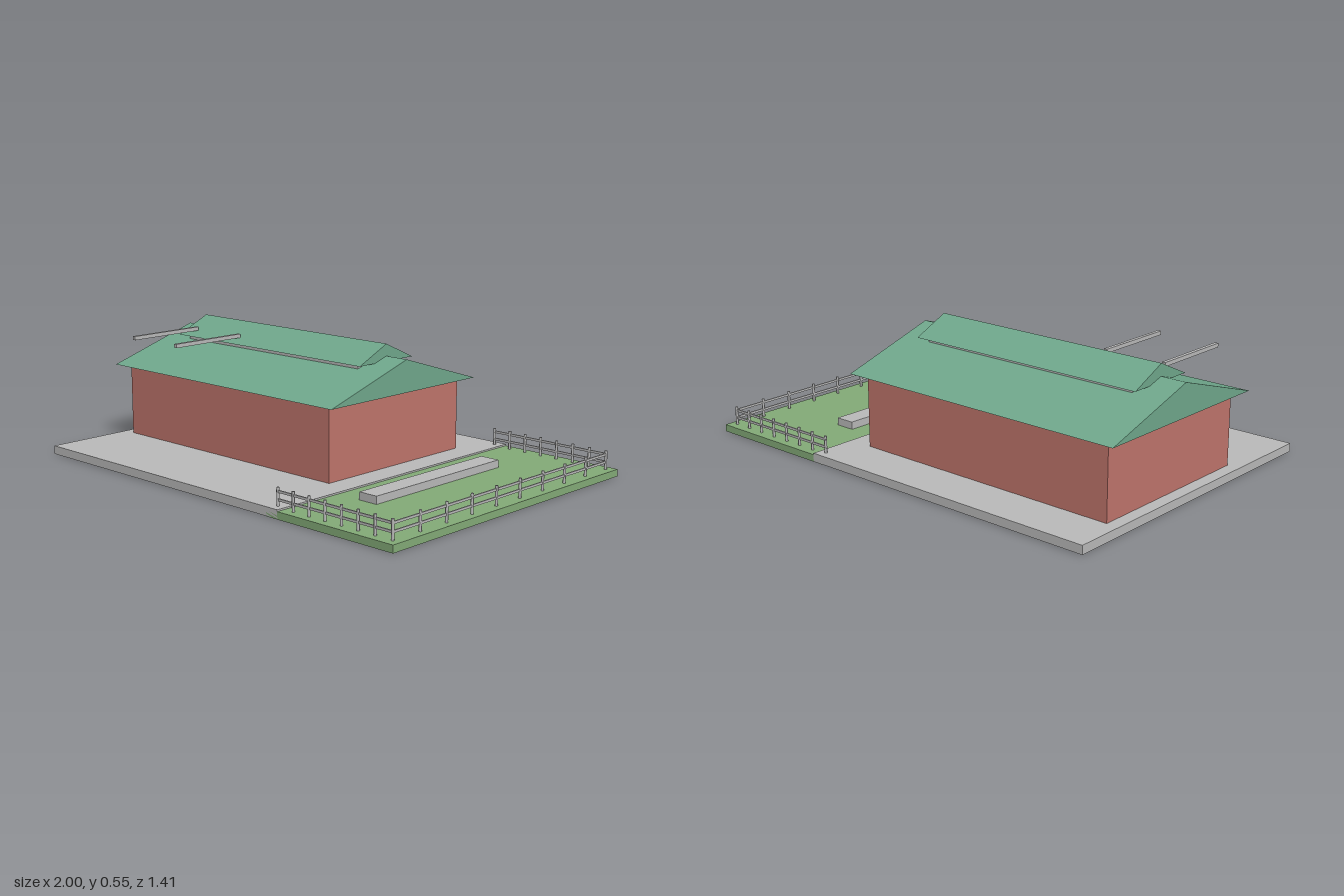
import * as THREE from 'three';

const material = (name, color) => {
  const m = new THREE.MeshStandardMaterial({ color });
  m.name = name;
  return m;
};

export function createModel() {
  const concrete = material('concrete grey', 0xbababa);
  const grass = material('grass green', 0x84ab78);
  const brick = material('brick red', 0xc0756c);
  const roofing = material('roof green', 0x70a88c);

  const model = new THREE.Group();
  model.name = 'building';

  const add = (parent, name, geometry, mat) => {
    const mesh = new THREE.Mesh(geometry, mat);
    mesh.name = name;
    parent.add(mesh);
    return mesh;
  };

  // Box given by its extents along each axis
  const box = (parent, name, mat, [x0, x1], [y0, y1], [z0, z1]) => {
    const mesh = add(parent, name, new THREE.BoxGeometry(x1 - x0, y1 - y0, z1 - z0), mat);
    mesh.position.set((x0 + x1) / 2, (y0 + y1) / 2, (z0 + z1) / 2);
    return mesh;
  };

  // Solid gable prism with its ridge along x
  const gable = (name, [x0, x1], [eave, ridge], [z0, z1]) => {
    const shape = new THREE.Shape();
    shape.moveTo(-z1, eave);
    shape.lineTo(-z0, eave);
    shape.lineTo(-(z0 + z1) / 2, ridge);
    const geometry = new THREE.ExtrudeGeometry(shape, { depth: x1 - x0, bevelEnabled: false });
    geometry.rotateY(Math.PI / 2);
    geometry.translate(x0, 0, 0);
    return add(model, name, geometry, roofing);
  };

  // Ground: paved yard and lawn
  box(model, 'pavedBase', concrete, [-1, 0.42], [0.001, 0.038], [-0.707, 0.707]);
  box(model, 'lawn', grass, [0.36, 1], [0, 0.031], [-0.707, 0.707]);

  // Building with a main roof and a raised ridge vent
  box(model, 'walls', brick, [-0.945, 0.305], [0.038, 0.357], [-0.495, 0.308]);
  gable('mainRoof', [-1, 0.36], [0.356, 0.496], [-0.543, 0.353]);
  box(model, 'ventWalls', concrete, [-0.85, 0.21], [0.4, 0.474], [-0.227, 0.038]);
  gable('ventRoof', [-0.885, 0.248], [0.473, 0.548], [-0.258, 0.068]);

  // Beams projecting forward above the roof
  for (const x of [-0.815, -0.532]) {
    box(model, 'roofBeam', concrete, [x - 0.008, x + 0.008], [0.495, 0.512], [0.02, 0.39]);
  }

  // Long low bench on the lawn
  box(model, 'bench', concrete, [0.535, 0.625], [0.031, 0.064], [-0.383, 0.378]);

  // Fence around three sides of the lawn
  const fence = new THREE.Group();
  fence.name = 'fence';
  model.add(fence);
  const postGeometry = new THREE.CylinderGeometry(0.006, 0.006, 0.082, 8);
  const post = (x, z) => {
    add(fence, 'fencePost', postGeometry, concrete).position.set(x, 0.071, z);
  };
  const left = 0.385, right = 0.965, side = 0.669, t = 0.003;
  for (let i = 0; i < 10; i++) post(right, -side + (2 * side * i) / 9);
  for (const z of [-side, side]) {
    for (let i = 0; i < 7; i++) post(left + ((right - left) * i) / 7, z);
  }
  for (const y of [0.063, 0.096]) {
    const height = [y - 0.005, y + 0.005];
    box(fence, 'endRail', concrete, [right - t, right + t], height, [-side, side]);
    for (const z of [-side, side]) {
      box(fence, 'sideRail', concrete, [left - 0.006, right], height, [z - t, z + t]);
    }
  }

  return model;
}
